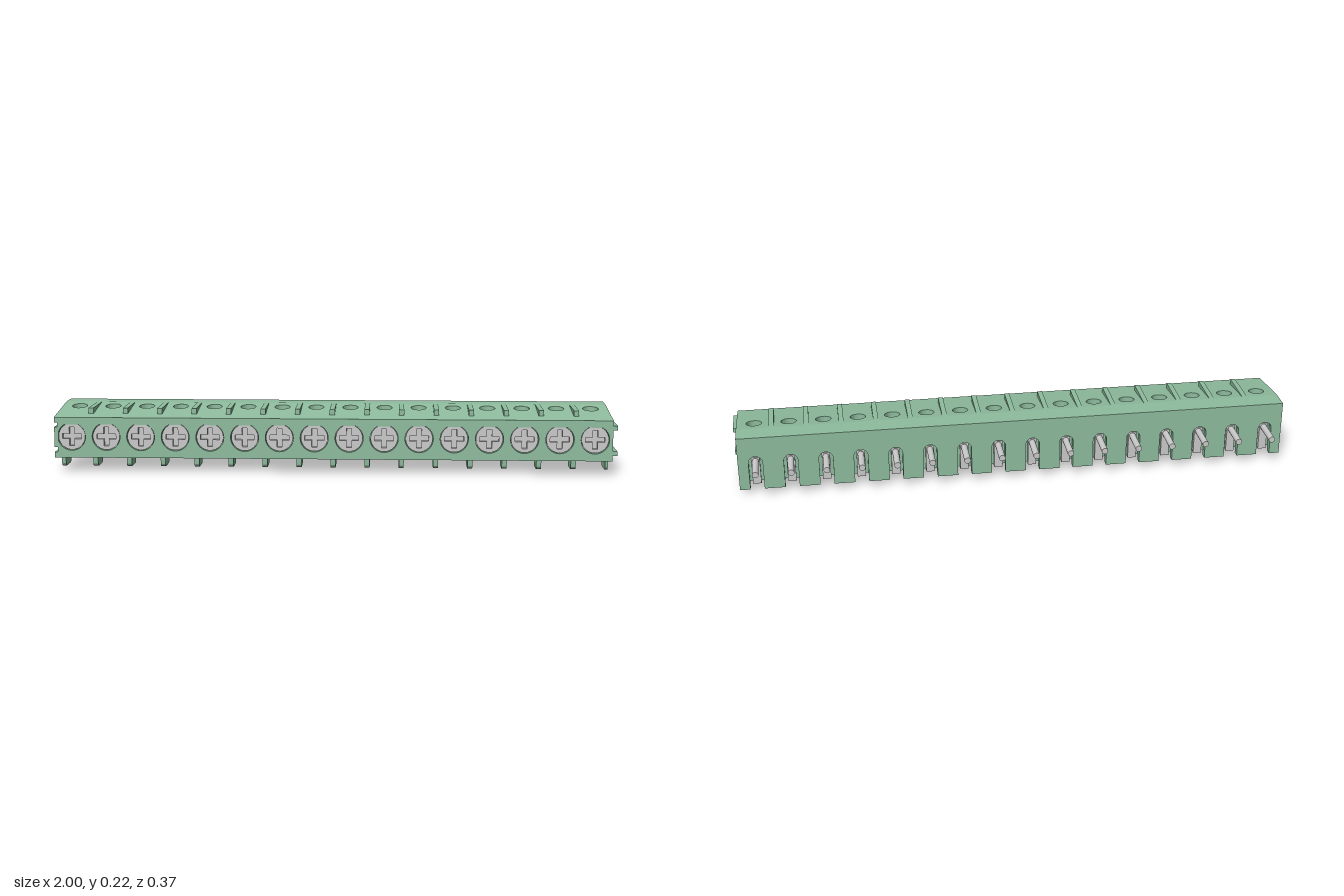
import * as THREE from 'three';
import { toCreasedNormals } from 'three/addons/utils/BufferGeometryUtils.js';

const POLES = 16, PITCH = 0.124, X0 = -1, X1 = X0 + POLES * PITCH;
const TOP = 0.224, FRONT = 0.187, BACK = -0.096, BEND = -0.02;
const SCREW_Y = 0.128, SLOPE = (TOP - 0.197) / (FRONT - BEND);
const centre = (i) => X0 + (i + 0.5) * PITCH;

const green = new THREE.MeshStandardMaterial({ color: 0x8fbd9f });
const metal = new THREE.MeshStandardMaterial({ color: 0xcccccc });

function add(parent, name, geometry, material, x = 0, y = 0, z = 0) {
  const mesh = new THREE.Mesh(geometry, material);
  mesh.name = name;
  mesh.position.set(x, y, z);
  parent.add(mesh);
  return mesh;
}

// Box given by its limits
function block(parent, name, material, xa, xb, ya, yb, za, zb) {
  return add(parent, name, new THREE.BoxGeometry(xb - xa, yb - ya, zb - za), material,
    (xa + xb) / 2, (ya + yb) / 2, (za + zb) / 2);
}

function extrude(shape, depth) {
  const g = new THREE.ExtrudeGeometry(shape, { depth, bevelEnabled: false, curveSegments: 16 });
  return toCreasedNormals(g, 0.6);
}

// Extrude a (z, y) profile along x, from xa to xb
function slab(parent, name, shape, xa, xb) {
  const g = extrude(shape, xb - xa);
  g.rotateY(-Math.PI / 2);
  return add(parent, name, g, green, xb);
}

function circleHole(x, y, r) {
  return new THREE.Path().absarc(x, y, r, 0, Math.PI * 2, true);
}

function rectShape(xa, xb, ya, yb) {
  return new THREE.Shape([[xa, ya], [xb, ya], [xb, yb], [xa, yb]].map((p) => new THREE.Vector2(...p)));
}

// Side outline with a rounded foot, optionally notched by the two joining grooves
function sideProfile(grooved) {
  const s = new THREE.Shape();
  const r = 0.015;
  s.moveTo(BACK, 0.02);
  s.lineTo(-0.006, 0.02);
  s.lineTo(-0.006, r);
  s.quadraticCurveTo(-0.006, 0, -0.006 + r, 0);
  s.lineTo(0.08 - r, 0);
  s.quadraticCurveTo(0.08, 0, 0.08, r);
  s.lineTo(0.08, 0.039);
  s.lineTo(FRONT, 0.052);
  if (grooved) {
    for (const y of [0.072, 0.162]) {
      s.lineTo(FRONT, y);
      s.lineTo(0.08, y);
      s.lineTo(0.08, y + 0.017);
      s.lineTo(FRONT, y + 0.017);
    }
  }
  s.lineTo(FRONT, 0.197);
  s.lineTo(BEND, TOP);
  s.lineTo(BACK, TOP);
  s.closePath();
  return s;
}

function buildHousing() {
  const housing = new THREE.Group();
  housing.name = 'housing';
  const xa = X0 + 0.011;

  // End walls and dividers between the poles
  slab(housing, 'groovedEndWall', sideProfile(true), X0, X0 + 0.011);
  slab(housing, 'endWallLining', sideProfile(false), X0 + 0.011, X0 + 0.015);
  slab(housing, 'endWall', sideProfile(false), X1 - 0.01, X1);
  for (let i = 1; i < POLES; i++) {
    const x = X0 + i * PITCH;
    slab(housing, 'divider', sideProfile(false), x - 0.009, x + 0.009);
    block(housing, 'topFin', green, x - 0.009, x + 0.009, 0.19, TOP, BEND, 0.135);
  }

  // Front plate with screw openings
  const front = rectShape(xa, X1, 0.052, 0.197);
  for (let i = 0; i < POLES; i++) front.holes.push(circleHole(centre(i), SCREW_Y, 0.05));
  add(housing, 'frontPlate', extrude(front, 0.035), green, 0, 0, FRONT - 0.035);

  // Flat and sloping roof, the slope pierced by test holes
  block(housing, 'flatRoof', green, xa, X1, TOP - 0.03, TOP, BACK, BEND);
  const roof = rectShape(xa, X1, -FRONT, -BEND);
  for (let i = 0; i < POLES; i++) roof.holes.push(circleHole(centre(i), -0.035, 0.028));
  const roofGeo = new THREE.ExtrudeGeometry(roof, { depth: 0.025, bevelEnabled: false, curveSegments: 16 });
  roofGeo.rotateX(-Math.PI / 2);
  const p = roofGeo.attributes.position;
  for (let i = 0; i < p.count; i++) {
    p.setY(i, p.getY(i) + TOP - 0.025 - (p.getZ(i) - BEND) * SLOPE);
  }
  add(housing, 'slopingRoof', toCreasedNormals(roofGeo, 0.6), green);

  // Back wall with an arched notch around each pin
  const back = new THREE.Shape();
  back.moveTo(xa, TOP);
  back.lineTo(xa, 0.02);
  for (let i = 0; i < POLES; i++) {
    const x = centre(i);
    back.lineTo(x - 0.025, 0.02);
    back.lineTo(x - 0.025, 0.125);
    back.absarc(x, 0.125, 0.025, Math.PI, 0, true);
    back.lineTo(x + 0.025, 0.02);
  }
  back.lineTo(X1, 0.02);
  back.lineTo(X1, TOP);
  back.closePath();
  add(housing, 'backWall', extrude(back, 0.025), green, 0, 0, BACK);
  block(housing, 'innerWall', green, xa, X1, 0.04, 0.2, -0.068, -0.012);

  // Sloping lip under the front
  const lip = new THREE.Shape([[0.08, 0.039], [FRONT, 0.052], [FRONT, 0.07], [0.08, 0.06]]
    .map((q) => new THREE.Vector2(...q)));
  slab(housing, 'frontLip', lip, xa, X1);

  // Joining ribs on the left end
  for (const y of [0.072, 0.162]) block(housing, 'joiningRib', green, X1 - 0.002, 1, y, y + 0.016, 0.08, FRONT);
  return housing;
}

// Screw head with a cross recess
function screwHeadGeometry() {
  const head = new THREE.Shape().absarc(0, 0, 0.048, 0, Math.PI * 2, false);
  const a = 0.009, b = 0.034;
  head.holes.push(new THREE.Path([
    [a, a], [a, b], [-a, b], [-a, a], [-b, a], [-b, -a],
    [-a, -a], [-a, -b], [a, -b], [a, -a], [b, -a], [b, a],
  ].map((q) => new THREE.Vector2(...q))));
  return extrude(head, 0.014);
}

export function createModel() {
  const model = new THREE.Group();
  model.name = 'terminalBlock';
  model.add(buildHousing());

  const headGeo = screwHeadGeometry();
  const discGeo = new THREE.CylinderGeometry(0.048, 0.048, 0.02, 32).rotateX(Math.PI / 2);
  const shankGeo = new THREE.CylinderGeometry(0.024, 0.024, 0.12, 16).rotateX(Math.PI / 2);
  const pinGeo = new THREE.CylinderGeometry(0.0115, 0.0115, 0.115, 16).rotateX(Math.PI / 2);

  // Square clamp cage, open below for the wire
  const cage = rectShape(-0.045, 0.045, -0.08, 0.01);
  cage.holes.push(new THREE.Path([[-0.033, -0.068], [-0.033, -0.002], [0.033, -0.002], [0.033, -0.068]]
    .map((q) => new THREE.Vector2(...q))));
  const cageGeo = extrude(cage, 0.13).rotateX(-Math.PI / 2);

  for (let i = 0; i < POLES; i++) {
    const pole = new THREE.Group();
    pole.name = 'pole';
    pole.position.x = centre(i);
    model.add(pole);
    add(pole, 'screwHead', headGeo, metal, 0, SCREW_Y, 0.168);
    add(pole, 'screwRecessFloor', discGeo, metal, 0, SCREW_Y, 0.158);
    add(pole, 'screwShank', shankGeo, metal, 0, SCREW_Y, 0.1);
    add(pole, 'clampCage', cageGeo, metal, 0, 0.045, 0);
    block(pole, 'cageTop', metal, -0.045, 0.045, 0.17, 0.188, -0.01, 0.08);
    block(pole, 'pinStrip', metal, -0.015, 0.015, 0.035, 0.14, -0.082, -0.066);
    add(pole, 'pin', pinGeo, metal, 0, 0.125, -0.187 + 0.0575);
  }
  return model;
}
